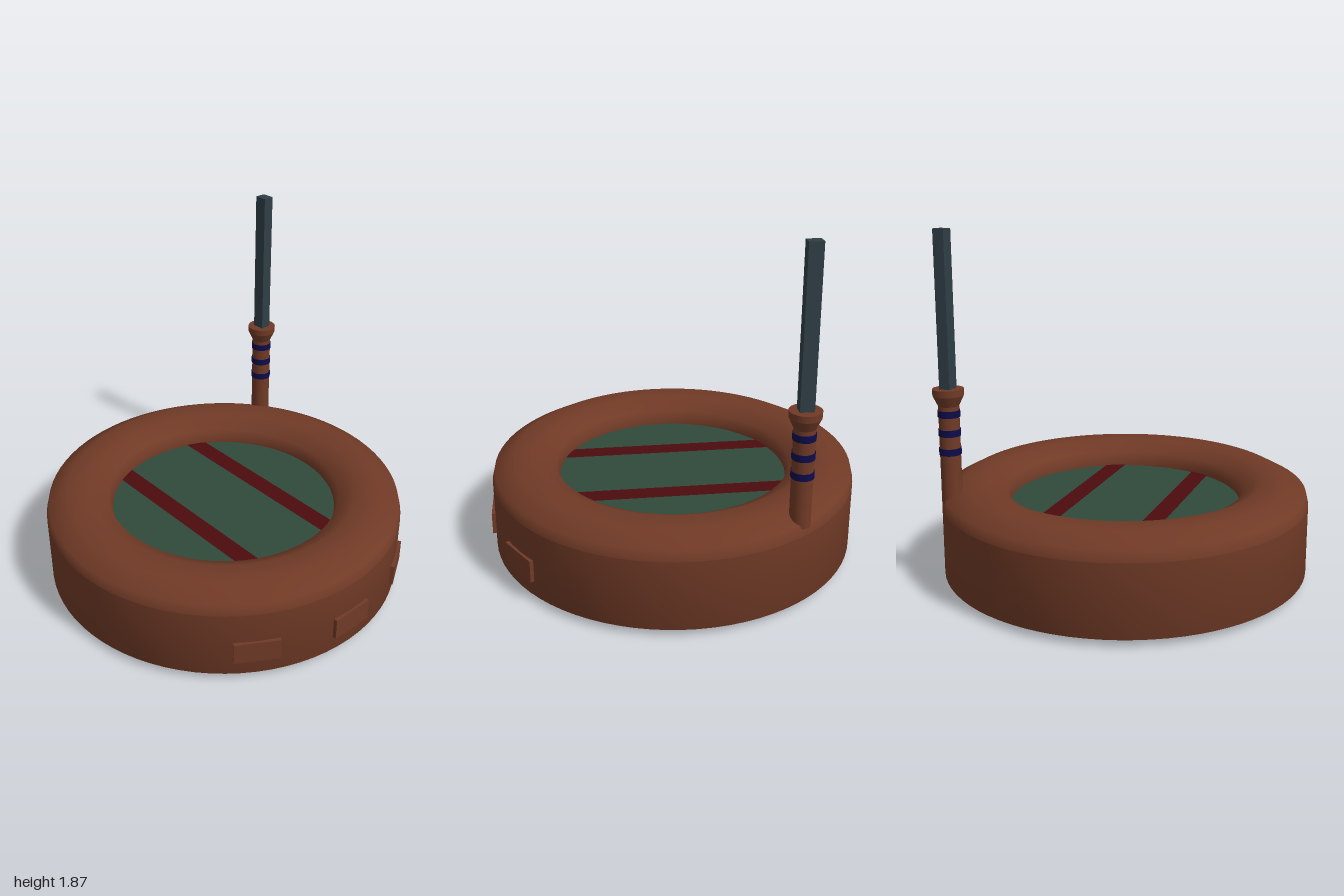
import * as THREE from 'three';

const CZ = -0.007; // centre of the round body in z

function material(name, color) {
  const m = new THREE.MeshStandardMaterial({ color });
  m.name = name;
  return m;
}

function lathe(points, segments) {
  return new THREE.LatheGeometry(points.map(([r, y]) => new THREE.Vector2(r, y)), segments);
}

export function createModel() {
  const brown = material('brown', 0x703a26);
  const green = material('darkGreen', 0x2f4a3a);
  const red = material('darkRed', 0x4d0c0e);
  const steel = material('slate', 0x2f3e46);
  const navy = material('navy', 0x0c0c4a);

  const model = new THREE.Group();
  const add = (name, geometry, mat, x = 0, y = 0, z = 0) => {
    const mesh = new THREE.Mesh(geometry, mat);
    mesh.name = name;
    mesh.position.set(x, y, z);
    model.add(mesh);
    return mesh;
  };

  // Round body: bevelled foot and upright wall, with a flat base
  add('bodyWall', lathe([[0.9, 0], [0.993, 0.036], [0.993, 0.413]], 80), brown, 0, 0, CZ);
  const base = add('bodyBase', new THREE.CircleGeometry(0.9, 80), brown, 0, 0, CZ);
  base.rotation.x = Math.PI / 2;

  // Padded ring around the recessed face
  add('topRing', lathe([
    [0.993, 0.413], [0.979, 0.47], [0.875, 0.525],
    [0.745, 0.525], [0.645, 0.47], [0.627, 0.413], [0.627, 0.38],
  ], 80), brown, 0, 0, CZ);

  // Recessed green face
  const R = 0.627, faceY = 0.39;
  const face = add('face', new THREE.CircleGeometry(R, 80), green, 0, faceY, CZ);
  face.rotation.x = -Math.PI / 2;

  // Two stripes whose ends follow the edge of the face
  for (const side of [-1, 1]) {
    const a = side * 0.265 - 0.053, b = side * 0.265 + 0.053;
    const shape = new THREE.Shape();
    const steps = 6;
    for (let i = 0; i <= steps; i++) {
      const x = a + (b - a) * i / steps;
      const y = -Math.sqrt(R * R - x * x);
      if (i === 0) shape.moveTo(x, y); else shape.lineTo(x, y);
    }
    for (let i = steps; i >= 0; i--) {
      const x = a + (b - a) * i / steps;
      shape.lineTo(x, Math.sqrt(R * R - x * x));
    }
    const stripe = add(side > 0 ? 'leftStripe' : 'rightStripe',
      new THREE.ShapeGeometry(shape), red, 0, faceY + 0.005, CZ);
    stripe.rotation.x = -Math.PI / 2;
  }

  // Three blocks on the front of the wall
  ['rightBlock', 'middleBlock', 'leftBlock'].forEach((name, i) => {
    const angle = (i - 1) * 0.55;
    const block = add(name, new THREE.BoxGeometry(0.24, 0.12, 0.05), brown,
      Math.sin(angle) * 0.981, 0.182, CZ + Math.cos(angle) * 0.981);
    block.rotation.y = angle;
  });

  // Handle standing on the ring, with a flared collar
  const PX = 0.775, PZ = -0.54;
  add('handle', new THREE.CylinderGeometry(0.054, 0.054, 0.56, 32), brown, PX, 0.73, PZ);
  add('collarFlare', new THREE.CylinderGeometry(0.08, 0.054, 0.055, 32, 1, true), brown, PX, 0.9975, PZ);
  add('collar', new THREE.CylinderGeometry(0.081, 0.08, 0.035, 32), brown, PX, 1.0425, PZ);

  // Bands around the handle
  for (const y of [0.73, 0.83, 0.93]) {
    add('handleBand', new THREE.CylinderGeometry(0.058, 0.058, 0.036, 32), navy, PX, y, PZ);
  }

  // Square bar rising from the collar
  add('bar', new THREE.BoxGeometry(0.06, 0.85, 0.072), steel, PX, 1.445, PZ);

  return model;
}
